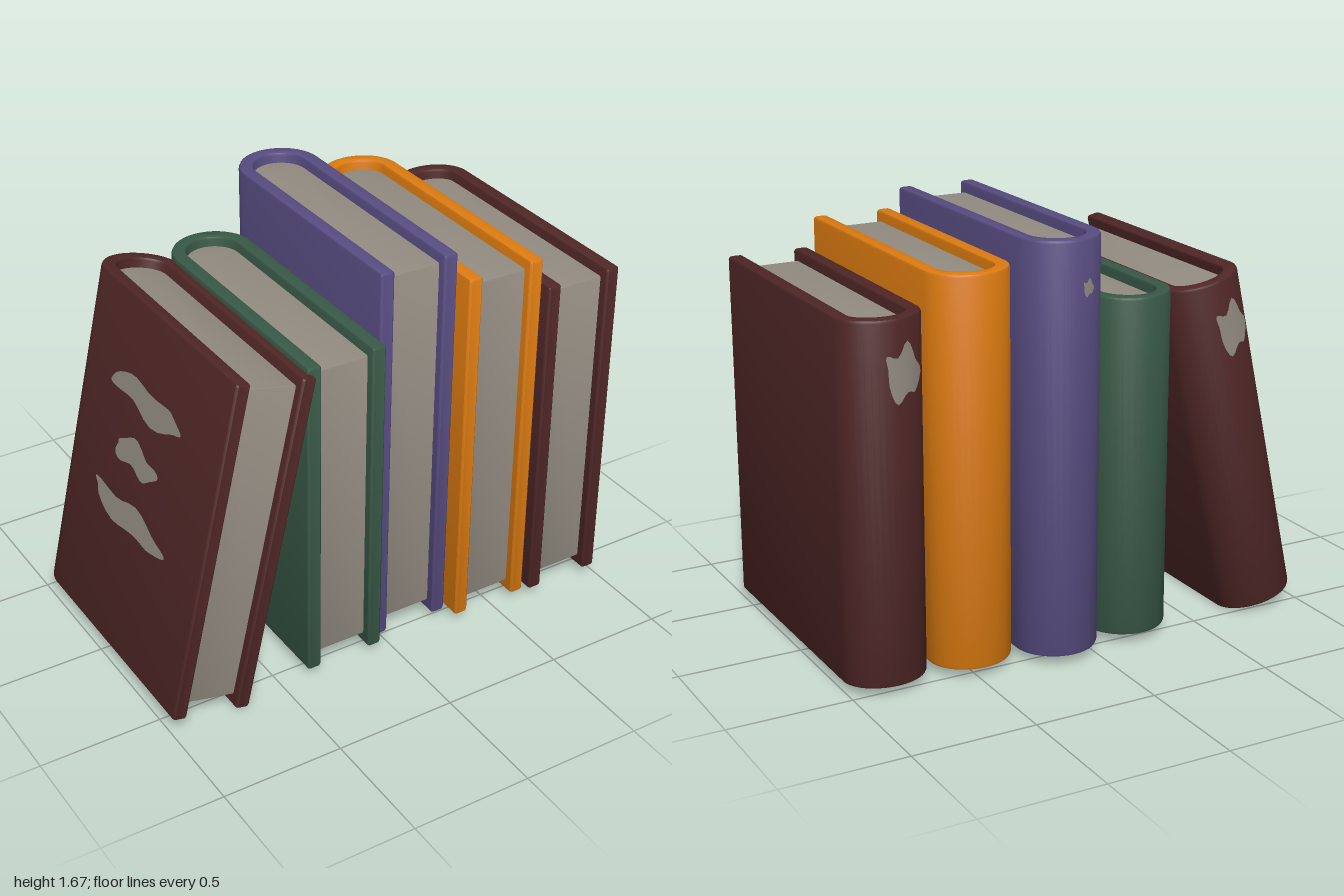
import * as THREE from 'three';
import { toCreasedNormals } from 'three/addons/utils/BufferGeometryUtils.js';

const material = (name, color) => {
  const m = new THREE.MeshStandardMaterial({ color });
  m.name = name;
  return m;
};

// Upright outline with a rounded back; y of the shape is the depth towards the back
function arc(halfWidth, straight, depth, reverse) {
  const pts = [];
  const n = 20;
  for (let i = 0; i <= n; i++) {
    const a = (Math.PI * i) / n;
    pts.push(new THREE.Vector2(halfWidth * Math.cos(a), straight + depth * Math.sin(a)));
  }
  return reverse ? pts.reverse() : pts;
}

function extrudeUp(points, y0, y1, bevel) {
  const geo = new THREE.ExtrudeGeometry(new THREE.Shape(points), {
    depth: y1 - y0 - 2 * bevel, bevelThickness: bevel, bevelSize: bevel,
    bevelOffset: -bevel, bevelSegments: 2,
  });
  geo.rotateX(-Math.PI / 2).translate(0, y0 + bevel, 0);
  return toCreasedNormals(geo, 0.6);
}

// Irregular worn patch, facing +z
function patch(width, height, wave) {
  const geo = new THREE.RingGeometry(0, 1, 32, 6);
  const p = geo.attributes.position;
  for (let i = 0; i < p.count; i++) {
    const x = p.getX(i), y = p.getY(i);
    const a = Math.atan2(y, x);
    const r = 1 + 0.08 * Math.sin(3 * a + wave) + 0.06 * Math.cos(5 * a);
    p.setXY(i, (x * r * width) / 2, (y * r * height) / 2 + height * 0.14 * Math.sin(5 * x + wave));
  }
  return geo;
}

function addMesh(group, name, geo, mat) {
  const mesh = new THREE.Mesh(geo, mat);
  mesh.name = name;
  group.add(mesh);
}

function createBook(b, pageMaterial) {
  const book = new THREE.Group();
  book.name = b.name;
  const hw = 0.168, board = 0.059, chamfer = 0.008;
  const straight = -b.back - b.round;
  const front = -b.front;
  const inner = hw - board;

  // Wrap-around cover: two boards joined by the rounded spine
  const v = (x, y) => new THREE.Vector2(x, y);
  const outline = [
    v(inner, front + chamfer), v(inner + chamfer, front), v(hw - chamfer, front), v(hw, front + chamfer),
    ...arc(hw, straight, b.round, false),
    v(-hw, front + chamfer), v(-hw + chamfer, front), v(-inner - chamfer, front), v(-inner, front + chamfer),
    ...arc(inner, straight, b.round - 0.055, true).map((q) => v(q.x, q.y)),
  ];
  addMesh(book, 'cover', extrudeUp(outline, 0, b.height, 0.012), b.material);

  // Page block, set in from the cover edges
  const e = inner + 0.006;
  const pages = [v(-e, front + 0.038), v(e, front + 0.038), ...arc(e, straight, b.round - 0.05, false)];
  addMesh(book, 'pages', extrudeUp(pages, 0.045, b.height - 0.043, 0.008), pageMaterial);

  // Worn patch following the spine curve
  if (b.spinePatch) {
    const [w, h, x0, y0] = b.spinePatch;
    const geo = patch(w, h, 0.6);
    const p = geo.attributes.position;
    for (let i = 0; i < p.count; i++) {
      const x = x0 - p.getX(i);
      const z = -straight - b.round * Math.sqrt(Math.max(0, 1 - (x / hw) ** 2));
      p.setXYZ(i, x, y0 + p.getY(i), z - 0.003);
    }
    geo.computeVertexNormals();
    addMesh(book, 'spinePatch', geo, pageMaterial);
  }

  // Three worn streaks on the outer board
  if (b.streaks) {
    [[0.56, 0.57, 0.05], [0.32, 0.82, 0.04], [0.54, 1.06, 0.05]].forEach(([w, y, z], i) => {
      const geo = patch(w, 0.115, i * 1.7 + 0.5);
      geo.rotateY(-Math.PI / 2).translate(-hw - 0.003, y, z);
      addMesh(book, 'coverStreak', geo, pageMaterial);
    });
  }

  book.position.set(b.x, 0.04, 0);
  book.rotation.z = b.lean || 0;
  return book;
}

export function createModel() {
  const model = new THREE.Group();
  model.name = 'rowOfBooks';
  const page = material('pageGrey', 0x938c82);
  const red = material('darkRed', 0x4f2626);
  const green = material('darkGreen', 0x385846);
  const purple = material('purple', 0x574c80);
  const orange = material('orange', 0xdb7a10);

  const redBook = {
    material: red, height: 1.415, back: -0.545, front: 0.613, round: 0.135,
    spinePatch: [0.15, 0.19, -0.05, 1.21], streaks: true,
  };
  const books = [
    { ...redBook, name: 'leaningRedBook', x: -0.835, lean: -0.22 },
    { name: 'greenBook', material: green, x: -0.217, height: 1.37, back: -0.57, front: 0.585, round: 0.165 },
    { name: 'purpleBook', material: purple, x: 0.122, height: 1.635, back: -0.618, front: 0.537, round: 0.165,
      spinePatch: [0.05, 0.06, -0.05, 1.45] },
    { name: 'orangeBook', material: orange, x: 0.473, height: 1.54, back: -0.558, front: 0.597, round: 0.15 },
    { ...redBook, name: 'uprightRedBook', x: 0.832 },
  ];
  books.forEach((b) => model.add(createBook(b, page)));
  return model;
}
